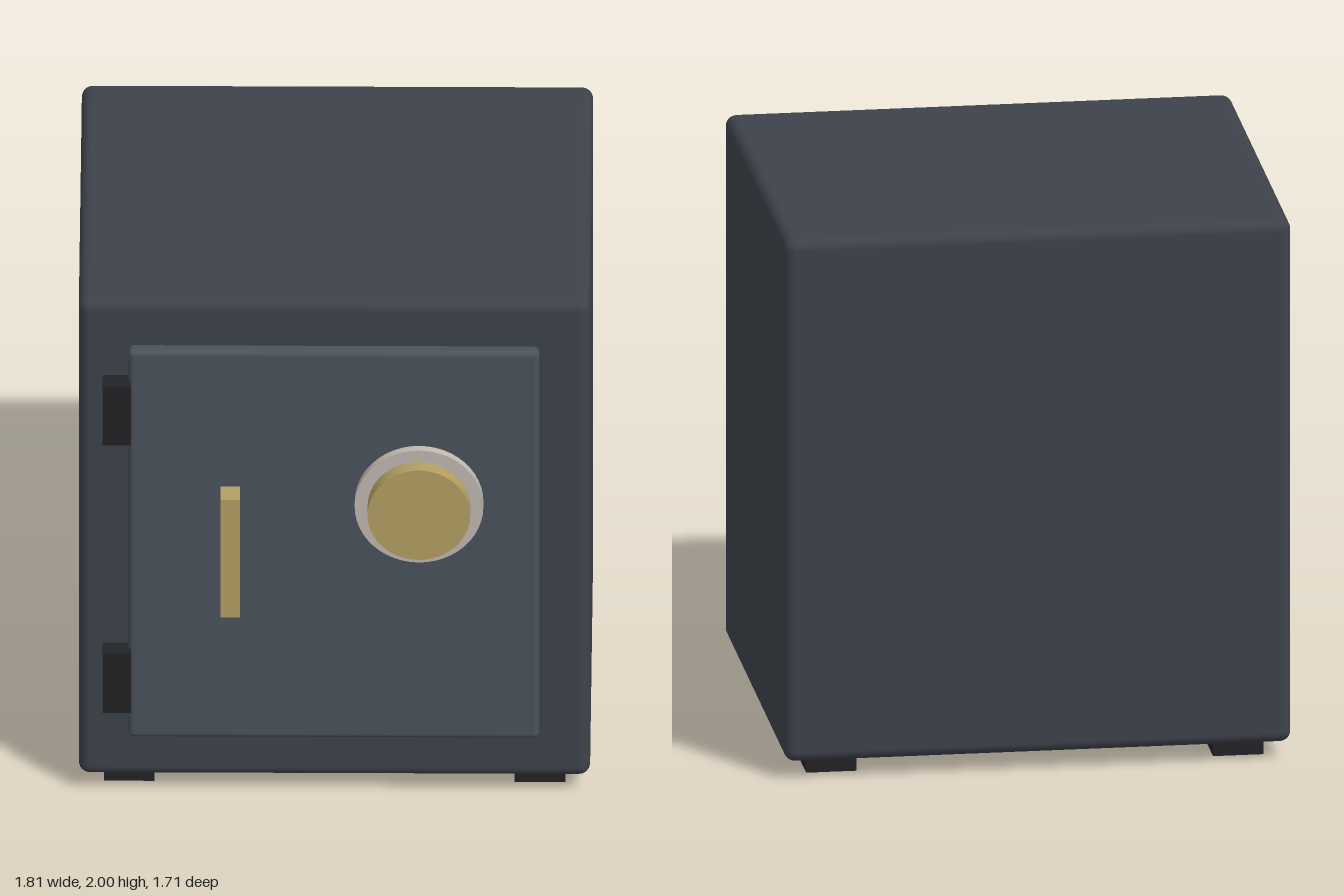
import * as THREE from 'three';
import { RoundedBoxGeometry } from 'three/addons/geometries/RoundedBoxGeometry.js';

const paint = (color) => new THREE.MeshStandardMaterial({ color });

export function createModel() {
  const safe = new THREE.Group();
  safe.name = 'safe';
  const steel = paint(0x3d424a), panel = paint(0x4a525b), black = paint(0x222326);
  const brass = paint(0xb39f62), silver = paint(0xc0b8b0);

  const add = (name, geometry, material, x, y, z) => {
    const mesh = new THREE.Mesh(geometry, material);
    mesh.name = name;
    mesh.position.set(x, y, z);
    safe.add(mesh);
    return mesh;
  };

  // Cabinet and door with softened edges
  add('cabinet', new RoundedBoxGeometry(1.81, 1.935, 1.57, 4, 0.04), steel, 0, 1.0325, -0.07);
  add('door', new RoundedBoxGeometry(1.455, 1.575, 0.09, 3, 0.02), panel, -0.002, 1.035, 0.717);

  // Hinges along the door's outer edge
  for (const [name, y] of [['upperHinge', 1.58], ['lowerHinge', 0.49]]) {
    add(name, new THREE.BoxGeometry(0.1, 0.24, 0.1), black, -0.77, y, 0.747);
  }

  // Upright handle bar
  add('handle', new THREE.BoxGeometry(0.07, 0.48, 0.12), brass, -0.368, 1.035, 0.798);

  // Combination dial: silver ring behind a brass knob
  const disc = (name, radius, back, front, material) => {
    const geometry = new THREE.CylinderGeometry(radius, radius, front - back, 48);
    add(name, geometry.rotateX(Math.PI / 2), material, 0.3, 1.215, (front + back) / 2);
  };
  disc('dialRing', 0.228, 0.74, 0.796, silver);
  disc('dialKnob', 0.182, 0.76, 0.858, brass);

  // Four square feet
  for (const x of [-0.727, 0.727]) {
    for (const z of [-0.67, 0.542]) {
      add('foot', new THREE.BoxGeometry(0.18, 0.08, 0.18), black, x, 0.04, z);
    }
  }
  return safe;
}
